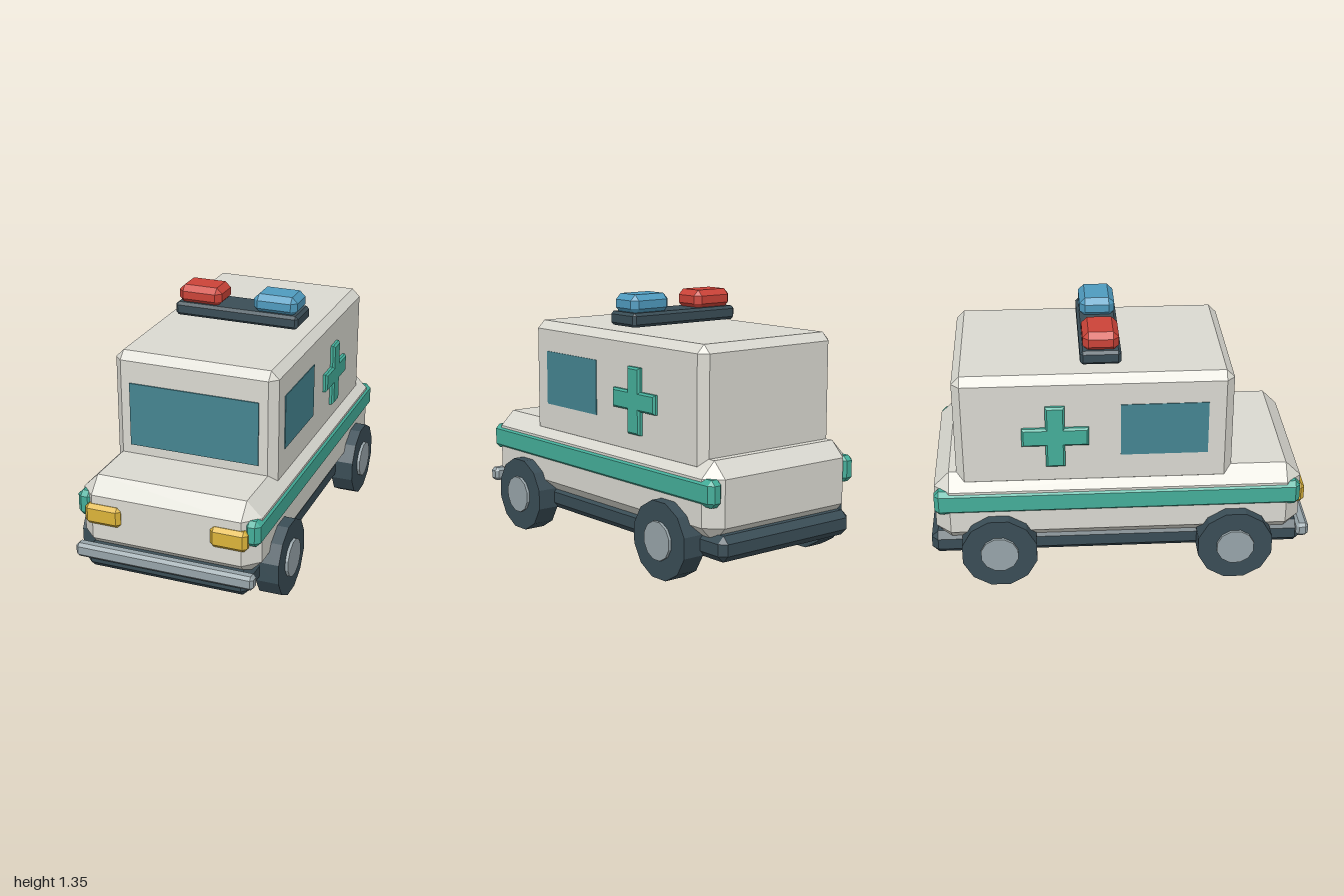
import * as THREE from 'three';
import { ConvexGeometry } from 'three/addons/geometries/ConvexGeometry.js';

const paint = (color) => new THREE.MeshStandardMaterial({ color, flatShading: true });

// Box between two corners with every edge chamfered by b
function chamferBox(min, max, b) {
  const c = min.map((v, i) => (v + max[i]) / 2);
  const h = min.map((v, i) => (max[i] - v) / 2);
  const points = [];
  for (const sx of [-1, 1]) for (const sy of [-1, 1]) for (const sz of [-1, 1]) {
    const s = [sx, sy, sz];
    for (let axis = 0; axis < 3; axis++) {
      points.push(new THREE.Vector3(...s.map((k, i) => c[i] + k * (i === axis ? h[i] : h[i] - b))));
    }
  }
  return new ConvexGeometry(points);
}

// Plus-shaped plate with a small bevel, facing +x
function crossGeometry(arm, w, depth, bevel) {
  const a = arm - bevel, t = w - bevel;
  const shape = new THREE.Shape([
    [-t, -a], [t, -a], [t, -t], [a, -t], [a, t], [t, t],
    [t, a], [-t, a], [-t, t], [-a, t], [-a, -t], [-t, -t],
  ].map(([x, y]) => new THREE.Vector2(x, y)));
  const g = new THREE.ExtrudeGeometry(shape, {
    depth: depth - 2 * bevel, bevelEnabled: true, bevelSize: bevel,
    bevelThickness: bevel, bevelSegments: 1,
  });
  return g.translate(0, 0, bevel).rotateY(Math.PI / 2);
}

// Twelve-sided disc along x, resting on a flat side
function disc(radius, width) {
  return new THREE.CylinderGeometry(radius, radius, width, 12)
    .rotateY(Math.PI / 12).rotateZ(Math.PI / 2);
}

export function createModel() {
  const model = new THREE.Group();
  const white = paint(0xdad9d1), teal = paint(0x44ae9a), dark = paint(0x3a4d56);
  const glass = paint(0x458591), yellow = paint(0xdcb43a), steel = paint(0x98a5aa);
  const red = paint(0xcb4338), blue = paint(0x4f9bbf);

  const add = (name, geometry, material, x = 0, y = 0, z = 0) => {
    const mesh = new THREE.Mesh(geometry, material);
    mesh.name = name;
    mesh.position.set(x, y, z);
    model.add(mesh);
    return mesh;
  };

  // Chassis, lower body and cabin
  add('chassis', chamferBox([-0.44, 0.135, -1], [0.44, 0.265, 0.97], 0.035), dark);
  add('lowerBody', chamferBox([-0.48, 0.22, -0.97], [0.48, 0.62, 0.95], 0.08), white);
  add('cabin', chamferBox([-0.44, 0.54, -0.85], [0.44, 1.17, 0.58], 0.042), white);

  // Front bumper and windscreen
  add('frontBumper', chamferBox([-0.48, 0.2, 0.935], [0.48, 0.275, 1], 0.016), steel);
  add('windscreen', new THREE.BoxGeometry(0.7, 0.34, 0.02), glass, 0, 0.84, 0.577);

  // Parts on both sides
  for (const side of [-1, 1]) {
    const label = side > 0 ? 'left' : 'right';
    const span = (a, b) => (side > 0 ? [a, b] : [-b, -a]);

    const [b0, b1] = span(0.405, 0.49);
    add(label + 'Stripe', chamferBox([b0, 0.405, -0.97], [b1, 0.542, 0.94], 0.025), teal);

    const [h0, h1] = span(0.24, 0.435);
    add(label + 'Headlight', chamferBox([h0, 0.385, 0.91], [h1, 0.495, 0.973], 0.02), yellow);

    add(label + 'Window', new THREE.BoxGeometry(0.02, 0.29, 0.45), glass, side * 0.434, 0.865, 0.225);

    const cross = add(label + 'Cross', crossGeometry(0.172, 0.05, 0.035, 0.01), teal,
      side * 0.429, 0.84, -0.335);
    if (side < 0) cross.rotation.y = Math.PI;

    for (const [end, z] of [['Front', 0.6], ['Rear', -0.64]]) {
      add(label + end + 'Wheel', disc(0.202, 0.12), dark, side * 0.48, 0.197, z);
      add(label + end + 'Hub', disc(0.1, 0.1), steel, side * 0.505, 0.197, z);
    }

    const [l0, l1] = span(0.09, 0.333);
    add(label + 'Beacon', chamferBox([l0, 1.25, -0.185], [l1, 1.352, 0], 0.03), side > 0 ? blue : red);
  }

  // Roof light bar
  add('lightBar', chamferBox([-0.345, 1.187, -0.2], [0.345, 1.26, 0.01], 0.015), dark);

  return model;
}
